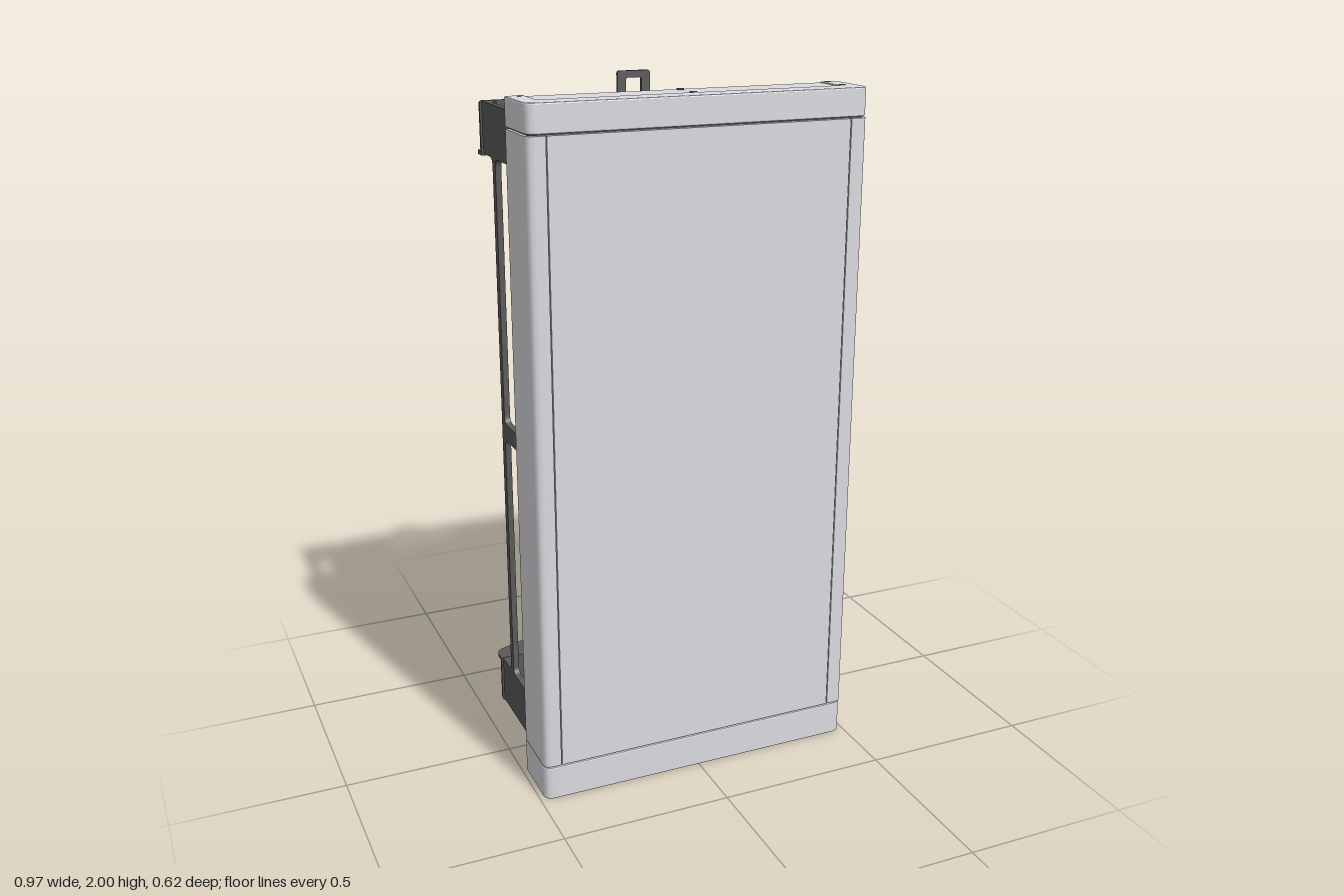
import * as THREE from 'three';
import { toCreasedNormals } from 'three/addons/utils/BufferGeometryUtils.js';

const mat = (color) => new THREE.MeshStandardMaterial({ color });

// Closed outline with rounded corners; a point may carry its own radius as third value
function outline(points, r = 0, Type = THREE.Shape) {
  const path = new Type();
  const n = points.length;
  points.forEach((p, i) => {
    const c = new THREE.Vector2(p[0], p[1]);
    const a = new THREE.Vector2(...points[(i + n - 1) % n].slice(0, 2)).sub(c);
    const b = new THREE.Vector2(...points[(i + 1) % n].slice(0, 2)).sub(c);
    const rad = Math.min(p[2] ?? r, a.length() / 2, b.length() / 2);
    const s = a.setLength(rad).add(c), e = b.setLength(rad).add(c);
    if (i) path.lineTo(s.x, s.y); else path.moveTo(s.x, s.y);
    if (rad > 0) path.quadraticCurveTo(c.x, c.y, e.x, e.y);
  });
  path.closePath();
  return path;
}

const rect = (x0, y0, x1, y1) => [[x0, y0], [x1, y0], [x1, y1], [x0, y1]];

function circle(x, y, r) {
  const p = new THREE.Path();
  p.absarc(x, y, r, 0, Math.PI * 2);
  return p;
}

function extrude(shape, depth, bevel = 0) {
  const g = new THREE.ExtrudeGeometry(shape, {
    depth: depth - 2 * bevel, curveSegments: 8, bevelEnabled: bevel > 0,
    bevelSize: bevel, bevelOffset: -bevel, bevelThickness: bevel, bevelSegments: 2,
  });
  g.translate(0, 0, bevel);
  return toCreasedNormals(g, 0.35);
}

// Upright prism from a plan outline given as (x, -z)
const prism = (shape, y0, y1, bevel = 0) =>
  extrude(shape, y1 - y0, bevel).rotateX(-Math.PI / 2).translate(0, y0, 0);
const plan = (pts) => pts.map(([x, z, r]) => [x, -z, r]);

export function createModel() {
  const model = new THREE.Group();
  const light = mat(0xdbdadf), dark = mat(0x5a5a5a), black = mat(0x222222), red = mat(0xb01010);

  const add = (parent, name, geometry, material, x = 0, y = 0, z = 0) => {
    const m = new THREE.Mesh(geometry, material);
    m.name = name;
    m.position.set(x, y, z);
    parent.add(m);
    return m;
  };
  const group = (name) => {
    const g = new THREE.Group();
    g.name = name;
    model.add(g);
    return g;
  };

  // Front cover: body with two vertical grooves, between two end caps
  const cover = group('frontCover');
  const W = 0.487, ZB = 0.13, ZF = 0.307, R = 0.03;
  const body = [[-W, ZB, 0.006], [-W, ZF, R]];
  for (const x of [-0.437, 0.433]) {
    body.push([x, ZF, 0], [x, ZF - 0.008, 0], [x + 0.003, ZF - 0.008, 0], [x + 0.003, ZF, 0]);
  }
  body.push([W, ZF, R], [W, ZB, 0.006]);
  add(cover, 'coverBody', prism(outline(plan(body)), 0.107, 1.898), light);
  add(cover, 'coverCore', new THREE.BoxGeometry(0.955, 1.82, 0.15), dark, 0, 1.0, 0.217);

  // End caps are U-shaped frames around an inset panel
  const cap = [[-W, ZB, 0.006], [-W, ZF, R], [W, ZF, R], [W, ZB, 0.006],
    [0.433, ZB, 0], [0.433, 0.24, 0], [-0.433, 0.24, 0], [-0.433, ZB, 0]];
  add(cover, 'topCap', prism(outline(plan(cap)), 1.902, 1.98, 0.004), light);
  add(cover, 'topPanel', new THREE.BoxGeometry(0.864, 0.075, 0.109), light, 0, 1.9395, 0.1845);
  add(cover, 'bottomCap', prism(outline(plan(cap)), 0, 0.103, 0.004), light);
  add(cover, 'connectorPanel', new THREE.BoxGeometry(0.866, 0.03, 0.11), light, 0, 0.085, 0.185);
  for (const [x, z] of [[-0.45, 0.145], [0, 0.145], [0.447, 0.145], [0, 0.228], [0.447, 0.228]]) {
    add(cover, 'capScrew', new THREE.CylinderGeometry(0.01, 0.01, 0.006, 16), dark, x, 1.9775, z);
    add(cover, 'capScrewHead', new THREE.CylinderGeometry(0.007, 0.007, 0.007, 6), light, x, 1.9775, z);
  }

  // Connectors under the cover
  const sockets = group('connectors');
  const connector = (name, x, r, material) => {
    add(sockets, name + 'Nut', new THREE.CylinderGeometry(r, r, 0.022, 8), material, x, 0.06, 0.185);
    add(sockets, name + 'Body', new THREE.CylinderGeometry(r * 0.8, r * 0.8, 0.035, 20), material, x, 0.037, 0.185);
    const ring = add(sockets, name + 'Rim', new THREE.TorusGeometry(r * 0.72, r * 0.18, 8, 20), material, x, 0.02, 0.185);
    ring.rotation.x = Math.PI / 2;
  };
  connector('vent', 0.367, 0.033, light);
  for (const x of [0.252, 0.137, -0.1]) connector('cableGland', x, 0.048, black);
  connector('powerSocket', 0.015, 0.046, red);
  connector('smallGland', -0.194, 0.028, black);
  add(sockets, 'slotSocket', new THREE.BoxGeometry(0.13, 0.03, 0.035), black, -0.33, 0.058, 0.185);

  // Heat sink: base plate and fins
  const sink = group('heatSink');
  const Y0 = 0.07, Y1 = 1.935, H = Y1 - Y0, YC = (Y0 + Y1) / 2;
  add(sink, 'basePlate', new THREE.BoxGeometry(0.9, H, 0.012), dark, 0, YC, 0.134);
  const fin = new THREE.BoxGeometry(0.003, H, 0.31);
  for (let i = 0; i < 24; i++) add(sink, 'fin', fin, dark, -0.38 + i * 0.76 / 23, YC, -0.025);

  // Side walls: two windows, the rear edge cut back between the brackets, inner face tapered
  const side = outline([[-0.13, Y0], [0.178, Y0], [0.178, 0.215], [0.095, 0.215, 0.025],
    [0.095, 1.79, 0.025], [0.178, 1.79], [0.178, Y1], [-0.13, Y1]]);
  for (const [a, b] of [[0.215, 0.98], [1.03, 1.79]]) {
    side.holes.push(outline(rect(-0.09, a, 0.07, b), 0.025, THREE.Path));
  }
  for (const s of [-1, 1]) {
    const wall = extrude(side, 0.03).rotateY(Math.PI / 2).translate(s > 0 ? 0.425 : -0.455, 0, 0);
    const p = wall.attributes.position;
    for (let i = 0; i < p.count; i++) {
      if (Math.abs(p.getX(i)) < 0.44) p.setX(i, s * (0.425 + (0.13 - p.getZ(i)) * 0.065));
    }
    add(sink, 'sideWall', wall, dark);
    const boss = [[0.45, -0.125], [0.441, -0.125], [0.438, -0.132, 0.004], [0.422, -0.138, 0.004],
      [0.422, -0.178], [0.45, -0.178]].map(([x, z, r]) => [s * x, z, r]);
    for (const [a, b] of [[Y0, 0.215], [1.79, Y1]]) {
      add(sink, 'bracketBoss', prism(outline(plan(boss)), a, b), dark);
    }
  }

  // Wall bracket, heights measured from mid height; the lower one is turned over
  const bracketPlate = outline([
    [-0.46, 0.785], [-0.145, 0.785], [-0.145, 0.865, 0.03], [0.145, 0.865, 0.03], [0.145, 0.785],
    [0.46, 0.785], [0.46, 0.935, 0.01],
    [0.312, 0.935], [0.312, 0.915, 0.006], [0.288, 0.915, 0.006], [0.288, 0.935],
    [0.05, 0.935], [0.05, 1, 0.008], [-0.05, 1, 0.008], [-0.05, 0.935],
    [-0.288, 0.935], [-0.288, 0.915, 0.006], [-0.312, 0.915, 0.006], [-0.312, 0.935],
    [-0.46, 0.935, 0.01]]);
  bracketPlate.holes.push(outline(rect(-0.024, 0.93, 0.024, 0.98), 0.006, THREE.Path));
  const flange = outline([[-0.46, 0.18], [-0.145, 0.18], [-0.145, 0.282, 0.018], [0.145, 0.282, 0.018],
    [0.145, 0.18], [0.46, 0.18], [0.46, 0.233, 0.025], [0.25, 0.31, 0.04],
    [-0.25, 0.31, 0.04], [-0.46, 0.233, 0.025]]);
  for (const s of [-1, 1]) {
    flange.holes.push(circle(s * 0.182, 0.262, 0.014));
    flange.holes.push(outline([[s * 0.233, 0.221], [s * 0.358, 0.221], [s * 0.35, 0.247],
      [s * 0.25, 0.292], [s * 0.233, 0.292]], 0.012, THREE.Path));
  }
  const plateGeo = extrude(bracketPlate, 0.01).translate(0, 0, -0.19);
  const flangeGeo = prism(flange, 0.785, 0.795);
  const screwGeo = new THREE.CylinderGeometry(0.012, 0.012, 0.012, 16).rotateX(Math.PI / 2);
  for (const [name, turn] of [['upperBracket', 0], ['lowerBracket', Math.PI]]) {
    const bracket = group(name);
    bracket.position.y = 1;
    bracket.rotation.z = turn;
    add(bracket, 'bracketPlate', plateGeo, dark);
    add(bracket, 'bracketFlange', flangeGeo, dark);
    for (const x of [-0.436, 0.436]) {
      for (const y of [0.825, 0.91]) add(bracket, 'bracketScrew', screwGeo, light, x, y, -0.191);
    }
  }
  return model;
}
